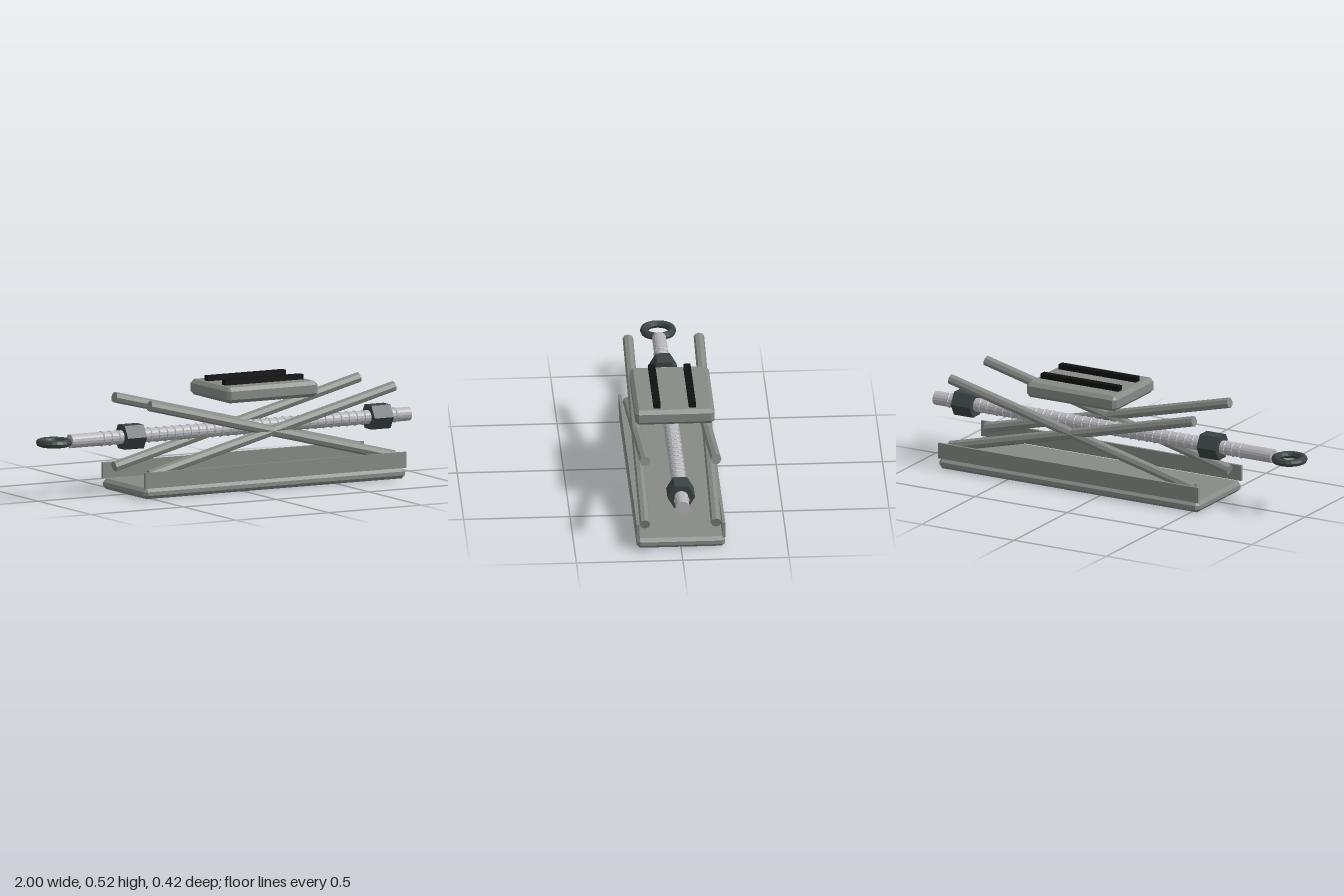
import * as THREE from 'three';
import { ConvexGeometry } from 'three/addons/geometries/ConvexGeometry.js';

const mat = (name, color) => {
  const m = new THREE.MeshStandardMaterial({ color, flatShading: true });
  m.name = name;
  return m;
};

// Box with every edge chamfered by c
function chamferBox(w, h, d, c) {
  const pts = [];
  const [x, y, z] = [w / 2, h / 2, d / 2];
  for (const sx of [-1, 1]) for (const sy of [-1, 1]) for (const sz of [-1, 1]) {
    pts.push(new THREE.Vector3(sx * x, sy * (y - c), sz * (z - c)));
    pts.push(new THREE.Vector3(sx * (x - c), sy * y, sz * (z - c)));
    pts.push(new THREE.Vector3(sx * (x - c), sy * (y - c), sz * z));
  }
  return new ConvexGeometry(pts);
}

export function createModel() {
  const group = new THREE.Group();
  group.name = 'scissorJack';
  const steel = mat('grey steel', 0x868984);
  const bright = mat('bright steel', 0xb4b4b9);
  const dark = mat('dark iron', 0x3a4442);
  const rubber = mat('black rubber', 0x111111);

  const add = (name, geo, material, x, y, z) => {
    const m = new THREE.Mesh(geo, material);
    m.name = name;
    m.position.set(x, y, z);
    group.add(m);
    return m;
  };

  const midX = 0.165, axisY = 0.272;

  // Base plate and saddle pad
  add('basePlate', chamferBox(1.41, 0.05, 0.416, 0.016), steel, midX, 0.025, 0);
  add('saddlePad', chamferBox(0.49, 0.074, 0.374, 0.017), steel, midX, 0.455, 0);

  // Side rails, grip strips and crossed arms on each side
  const run = 1.32, rise = 0.33;
  const armGeo = new THREE.CylinderGeometry(0.025, 0.025, Math.hypot(run, rise), 8);
  for (const s of [1, -1]) {
    add('sideRail', new THREE.BoxGeometry(1.41, 0.075, 0.013), steel, midX, 0.0885, s * 0.2015);
    add('gripStrip', new THREE.BoxGeometry(0.42, 0.025, 0.033), rubber, midX, 0.504, s * 0.083);
    for (const tilt of [1, -1]) {
      const arm = add('scissorArm', armGeo, steel, midX, axisY, s * 0.167);
      arm.rotation.z = -Math.PI / 2 + tilt * Math.atan2(rise, run);
    }
  }

  // Drive screw
  const screw = add('screwShaft', new THREE.CylinderGeometry(0.033, 0.033, 1.83, 16), bright, 0.085, axisY, 0);
  screw.rotation.z = -Math.PI / 2;

  // Thread rings
  const ringGeo = new THREE.TorusGeometry(0.033, 0.0045, 5, 10);
  for (let i = 0; i < 38; i++) {
    add('threadRing', ringGeo, bright, -0.66 + i * 0.0427, axisY, 0).rotation.y = Math.PI / 2;
  }

  // Hexagonal nuts
  for (const x of [-0.5, 0.832]) {
    add('hexNut', new THREE.CylinderGeometry(0.065, 0.065, 0.103, 6), dark, x, axisY, 0).rotation.z = -Math.PI / 2;
  }

  // Eye for the crank hook
  add('crankEye', new THREE.TorusGeometry(0.067, 0.0185, 8, 20), dark, -0.915, axisY, 0).rotation.x = Math.PI / 2;

  return group;
}
